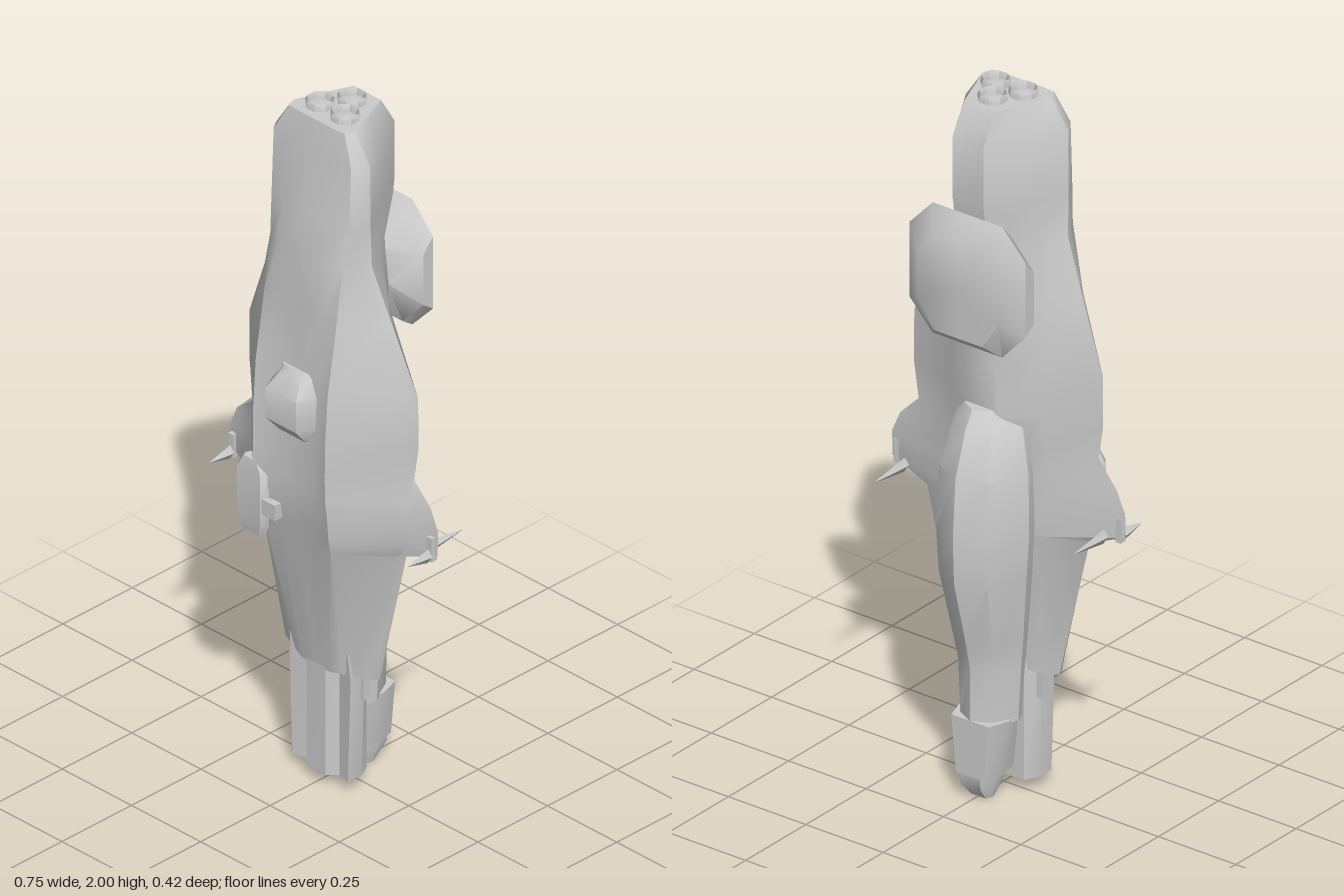
import * as THREE from 'three';
import { toCreasedNormals } from 'three/addons/utils/BufferGeometryUtils.js';

const grey = new THREE.MeshStandardMaterial({ color: 0xcccccc, side: THREE.DoubleSide });

// Closed loft: outline(row) gives half a section, from front centre by +x to back centre
function loft(rows, outline) {
  const rings = rows.slice().sort((a, b) => a[0] - b[0]).map(row => {
    const half = outline(...row);
    const mirror = half.slice(1, -1).reverse().map(([x, z]) => [-x, z]);
    return [...half, ...mirror].map(([x, z]) => [x, row[0], z]);
  });
  const n = rings[0].length, last = rings.length - 1;
  const pos = rings.flat(2), idx = [];
  for (let i = 0; i < last; i++) {
    for (let j = 0; j < n; j++) {
      const a = i * n + j, b = i * n + (j + 1) % n;
      idx.push(a, b, b + n, a, b + n, a + n);
    }
  }
  // End caps as fans
  for (const i of [0, last]) {
    const c = pos.length / 3;
    pos.push(...[0, 1, 2].map(k => rings[i].reduce((s, p) => s + p[k], 0) / n));
    for (let j = 0; j < n; j++) {
      const a = i * n + j, b = i * n + (j + 1) % n;
      idx.push(c, ...(i ? [a, b] : [b, a]));
    }
  }
  const g = new THREE.BufferGeometry();
  g.setAttribute('position', new THREE.Float32BufferAttribute(pos, 3));
  g.setIndex(idx);
  return toCreasedNormals(g, 0.65);
}

export function createModel() {
  const model = new THREE.Group();
  const add = (name, geometry, x = 0, y = 0, z = 0) => {
    const mesh = new THREE.Mesh(geometry, grey);
    mesh.name = name;
    mesh.position.set(x, y, z);
    model.add(mesh);
  };

  // Main hull with side wings: y, front z, ridge x, ridge z, half width, back z
  const hull = [
    [1.98, 0.085, 0.1, 0.082, 0.11, -0.1],
    [1.9, 0.1, 0.14, 0.098, 0.165, -0.147],
    [1.72, 0.123, 0.14, 0.105, 0.167, -0.147],
    [1.6, 0.147, 0.13, 0.12, 0.168, -0.13],
    [1.45, 0.14, 0.13, 0.14, 0.225, -0.1],
    [1.25, 0.16, 0.13, 0.172, 0.305, -0.1],
    [1.1, 0.165, 0.13, 0.182, 0.305, -0.1],
    [1.0, 0.165, 0.13, 0.183, 0.29, -0.08],
    [0.94, 0.165, 0.13, 0.182, 0.35, -0.06],
    [0.88, 0.165, 0.13, 0.175, 0.376, -0.05],
    [0.81, 0.155, 0.125, 0.165, 0.374, -0.05],
    [0.76, 0.145, 0.12, 0.152, 0.262, -0.05],
    [0.35, 0.085, 0.08, 0.072, 0.165, -0.02],
  ];
  add('hull', loft(hull, (y, front, ridgeX, ridgeZ, w, back) => {
    const tip = 0.02 + 0.035 * THREE.MathUtils.smoothstep(y, 1.2, 1.7);
    return [[0, front], [0.6 * ridgeX, front], [ridgeX, ridgeZ], [Math.min(0.95 * w, 0.285), tip + 0.018],
      [w, tip], [Math.min(0.72 * w, 0.15), back > -0.03 ? 0 : -0.025], [0.05, back], [0, back]];
  }));

  // Raised boss on the front
  add('frontBoss', loft([[1.27, 0.03, 0.168], [1.21, 0.055, 0.211], [1.12, 0.055, 0.211], [1.07, 0.05, 0.168]],
    (y, w, z) => [[0, z], [w, z], [w + 0.03, 0.15], [0, 0.13]]));

  // Grooved lower prow
  add('prow', loft([[0.46, 0.092, 0.1], [0.34, 0.085, 0.11], [0.035, 0.085, 0.1]], (y, f, w) =>
    [[0, f], [0.035, f], [0.06, f - 0.025], [w, f - 0.015], [w, 0.02], [0.08, -0.018], [0, -0.018]]));

  // Rounded keel on the back, ridged along its middle: y, half width, back z
  const keel = [
    [1.12, 0.07, -0.13], [1.07, 0.105, -0.16], [0.95, 0.135, -0.2], [0.78, 0.14, -0.211],
    [0.65, 0.13, -0.206], [0.45, 0.105, -0.155], [0.38, 0.095, -0.14], [0.22, 0.085, -0.14],
  ];
  add('keel', loft(keel, (y, w, b) => [[0, 0], [0.8 * w, 0], [w, b * 0.35], [0.6 * w, b * 0.82], [0, b]]));

  // Nose below the keel and its small tip: y, half width, front z, back z
  const noseSection = (y, w, f, b) => [[0, f], [0.8 * w, f], [w, (f + b) / 2], [0.75 * w, b], [0, b]];
  add('keelNose', loft([[0.23, 0.08, -0.02, -0.14], [0.07, 0.06, -0.02, -0.14]], noseSection));
  add('noseTip', loft([[0.08, 0.042, -0.042, -0.14], [0.04, 0.042, -0.042, -0.137], [0, 0.032, -0.07, -0.105]],
    noseSection));

  // Wide chamfered pod on the back, lofted front to back: depth, half width, top, bottom
  const pod = [
    [0.19, 0.13, 1.63, 1.35], [0.15, 0.187, 1.69, 1.315], [0.115, 0.187, 1.65, 1.34], [0.05, 0.12, 1.57, 1.4],
  ];
  add('rearPod', loft(pod, (d, w, t, b) =>
    [[0, t], [0.6 * w, t], [w, t - 0.08], [w, b + 0.08], [0.6 * w, b], [0, b]]).rotateX(-Math.PI / 2));

  // Three engine nozzles: octagonal cups with a recessed core
  const cup = [[0.04, 1.95], [0.04, 1.992], [0.036, 2], [0.032, 1.992], [0.03, 1.982], [0, 1.988]];
  for (const [x, z] of [[0, -0.045], [0.045, 0.025], [-0.045, 0.025]]) {
    const lathe = new THREE.LatheGeometry(cup.map(p => new THREE.Vector2(...p)), 8, Math.PI / 8);
    add('engineNozzle', toCreasedNormals(lathe, 0.5), x, 0, z);
  }

  // Wing spike along z: thick near its base, pointed at the tip
  const spike = (base, end, tip) => loft([[-base, 0.0125], [-end, 0.004], [-tip, 0.001]],
    (d, r) => [[0, 1.6 * r], [r, 0], [0, -1.6 * r]]).rotateX(-Math.PI / 2);
  for (const s of [1, -1]) {
    add('rearSpike', spike(0, 0.02, -0.12), s * 0.322, 0.805);
    add('frontSpike', spike(0.04, 0.015, 0.11), s * 0.358, 0.81);
    add('wingTipMount', new THREE.BoxGeometry(0.018, 0.07, 0.02), s * 0.358, 0.828, 0.025);
    // Short barrels under the wing roots
    add('barrel', new THREE.BoxGeometry(0.02, 0.1, 0.024), s * 0.108, 0.32, 0.02);
  }

  // Sensor block on the right of the front, with its bracket: y, half width, half depth
  add('sideSensor', loft([[0.945, 0.03, 0.014], [0.91, 0.055, 0.019], [0.76, 0.055, 0.019], [0.725, 0.04, 0.013]],
    (y, w, d) => [[0, d], [0.75 * w, d], [w, 0], [0.75 * w, -d], [0, -d]]), -0.145, 0, 0.164);
  add('sensorBracket', new THREE.BoxGeometry(0.05, 0.045, 0.03), -0.078, 0.82, 0.165);

  return model;
}
